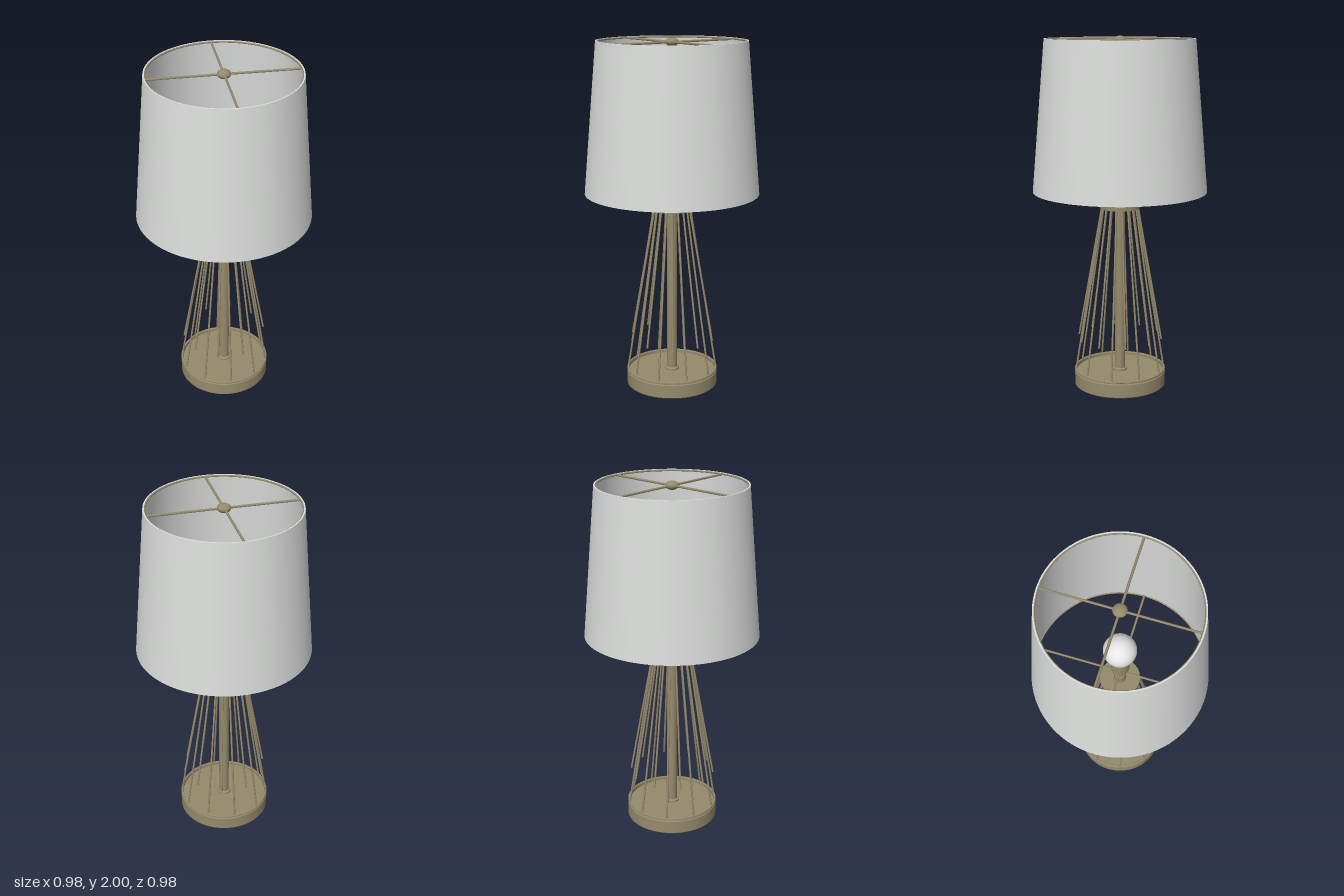
import * as THREE from 'three';

export function createModel() {
  const lamp = new THREE.Group();
  lamp.name = 'tableLamp';

  const brass = new THREE.MeshStandardMaterial({ name: 'agedBrass', color: 0x958a6c });
  const fabric = new THREE.MeshStandardMaterial({ name: 'shadeFabric', color: 0xdcdedc, side: THREE.DoubleSide });
  const glass = new THREE.MeshStandardMaterial({ name: 'bulbGlass', color: 0xf0f0f0 });

  const add = (name, geometry, material, parent = lamp) => {
    const mesh = new THREE.Mesh(geometry, material);
    mesh.name = name;
    parent.add(mesh);
    return mesh;
  };
  const group = (name) => {
    const g = new THREE.Group();
    g.name = name;
    lamp.add(g);
    return g;
  };
  // Turned part with crisp corners: each straight run gets its own vertices
  const turned = (name, points, material = brass, segments = 64) => {
    const part = group(name);
    for (let i = 0; i < points.length - 1; i++) {
      const run = [points[i], points[i + 1]].map(([r, y]) => new THREE.Vector2(r, y));
      add(name + 'Face', new THREE.LatheGeometry(run, segments), material, part);
    }
    return part;
  };
  const ring = (name, radius, tube, y) => {
    const mesh = add(name, new THREE.TorusGeometry(radius, tube, 8, 64), brass);
    mesh.rotation.x = Math.PI / 2;
    mesh.position.y = y;
  };
  // Straight round bar between two points
  const bar = (name, a, b, radius, parent) => {
    const mesh = add(name, new THREE.CylinderGeometry(radius, radius, a.distanceTo(b), 8), brass, parent);
    mesh.position.copy(a).add(b).multiplyScalar(0.5);
    mesh.quaternion.setFromUnitVectors(new THREE.Vector3(0, 1, 0), b.clone().sub(a).normalize());
  };
  const polar = (r, angle, y) => new THREE.Vector3(r * Math.cos(angle), y, r * Math.sin(angle));

  // Drum base with a raised rim around a recessed top
  turned('base', [
    [0, 0], [0.256, 0], [0.262, 0.006], [0.262, 0.079], [0.258, 0.084],
    [0.258, 0.088], [0.262, 0.09], [0.262, 0.096], [0.259, 0.1],
    [0.251, 0.1], [0.249, 0.096], [0.249, 0.08], [0, 0.08],
  ]);

  // Stem and its foot
  turned('stemFoot', [[0.04, 0.08], [0.04, 0.09], [0.029, 0.095]], brass, 32);
  turned('stem', [[0.029, 0.08], [0.029, 1.06]], brass, 32);

  // Collar that holds the rods
  turned('collar', [[0, 1.04], [0.112, 1.04], [0.112, 1.062], [0, 1.062]]);

  // Cage of alternating long and short rods
  const rods = group('rods');
  for (let i = 0; i < 20; i++) {
    const angle = (i * Math.PI) / 10;
    const isLong = i % 2 === 1;
    const end = isLong ? polar(0.255, angle, 0.097) : polar(0.242, angle, 0.28);
    bar(isLong ? 'longRod' : 'shortRod', end, polar(0.104, angle, 1.045), 0.0055, rods);
  }

  // Neck and bulb socket
  turned('socket', [
    [0.033, 1.06], [0.033, 1.13], [0.028, 1.135], [0.028, 1.17],
    [0.033, 1.175], [0.033, 1.19], [0.049, 1.21], [0.049, 1.24],
    [0.053, 1.24], [0.053, 1.335], [0, 1.335],
  ], brass, 32);

  // Bulb: flared throat running smoothly into a round top
  const bulbPoints = [new THREE.Vector2(0.045, 1.33), new THREE.Vector2(0.052, 1.355), new THREE.Vector2(0.068, 1.39)];
  for (let i = 0; i <= 16; i++) {
    const a = -0.45 + (i / 16) * (Math.PI / 2 + 0.45);
    bulbPoints.push(new THREE.Vector2(Math.max(0, 0.09 * Math.cos(a)), 1.465 + 0.09 * Math.sin(a)));
  }
  add('bulb', new THREE.LatheGeometry(bulbPoints, 40), glass);

  // Tapered shade with a thin wall
  turned('shade', [[0.482, 1.14], [0.49, 1.14], [0.417, 1.985], [0.409, 1.985], [0.482, 1.14]], fabric, 80);
  ring('topShadeRing', 0.408, 0.005, 1.978);
  ring('bottomShadeRing', 0.48, 0.005, 1.148);

  // Four-armed spiders at the top and bottom of the shade
  const spiders = group('spiders');
  for (const [radius, y] of [[0.408, 1.975], [0.478, 1.155]]) {
    for (let i = 0; i < 2; i++) {
      const angle = (i * Math.PI) / 2;
      bar('spiderArm', polar(radius, angle, y), polar(radius, angle + Math.PI, y), 0.0065, spiders);
    }
  }

  // Flattened finial
  const finial = add('finial', new THREE.SphereGeometry(0.037, 32, 16), brass);
  finial.scale.y = 0.65;
  finial.position.y = 1.976;

  return lamp;
}
